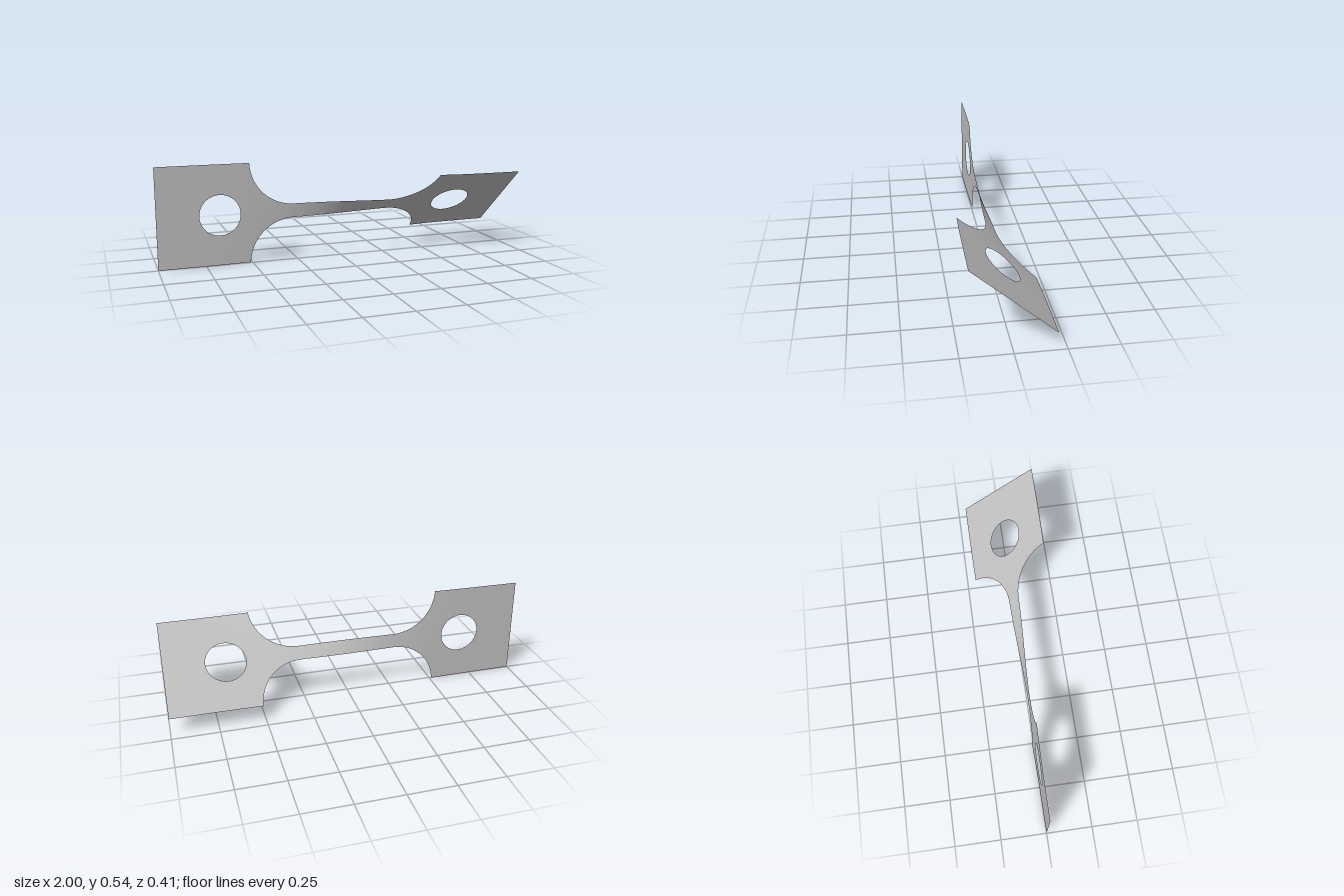
import * as THREE from 'three';
import { mergeGeometries } from 'three/addons/utils/BufferGeometryUtils.js';

const HALF = 0.271;      // half height of the end tabs
const NECK = 0.039;      // half height of the neck
const FILLET = 0.24;     // radius between neck and tab
const TAB_X = 0.51;      // inner edge of the tabs
const HOLE_X = 0.67;
const HOLE_R = 0.109;

const MAX_TWIST = THREE.MathUtils.degToRad(49);
const RATE = 3.4;

// Twist about the x axis, concentrated in the neck
const twist = x => (MAX_TWIST / 2) * (1 + Math.tanh(RATE * x));
const twistSlope = x => (MAX_TWIST / 2) * RATE / Math.cosh(RATE * x) ** 2;

// Outer edge of the sheet at x
function edge(x) {
  const d = Math.abs(x) - (TAB_X - FILLET);
  if (d <= 0) return NECK;
  if (d >= FILLET - 1e-6) return HALF;
  return Math.min(HALF, NECK + FILLET - Math.sqrt(FILLET * FILLET - d * d));
}

// Edge of the round hole at x
function hole(x) {
  const d = Math.abs(x) - HOLE_X;
  return Math.sqrt(Math.max(0, HOLE_R * HOLE_R - d * d));
}

// Stations from a to b, bunched towards both ends
const stations = (a, b, n) => Array.from({ length: n + 1 }, (_, i) =>
  (a + b) / 2 - (b - a) / 2 * Math.cos(Math.PI * i / n));

// Twisted strip lying above (side 1) or below (side -1) the centre line
function strip(xs, side) {
  const rows = 4;
  const geo = new THREE.PlaneGeometry(1, 1, xs.length - 1, rows);
  const { position, normal } = geo.attributes;
  const n = new THREE.Vector3();
  for (let i = 0; i < position.count; i++) {
    const x = xs[i % xs.length];
    const t = Math.floor(i / xs.length) / rows;
    const v = side > 0
      ? THREE.MathUtils.lerp(edge(x), hole(x), t)
      : -THREE.MathUtils.lerp(hole(x), edge(x), t);
    const a = twist(x);
    position.setXYZ(i, x, HALF + v * Math.cos(a), v * Math.sin(a));
    n.set(-v * twistSlope(x), -Math.sin(a), Math.cos(a)).normalize();
    normal.setXYZ(i, n.x, n.y, n.z);
  }
  return geo;
}

export function createModel() {
  const group = new THREE.Group();
  group.name = 'twistedSpecimen';
  const metal = new THREE.MeshStandardMaterial({ color: 0xc0c0c0, side: THREE.DoubleSide });
  metal.name = 'plain grey metal';

  const add = (name, xs) => {
    const mesh = new THREE.Mesh(mergeGeometries([strip(xs, 1), strip(xs, -1)]), metal);
    mesh.name = name;
    group.add(mesh);
  };

  // Tab stations, running outwards past the hole
  const tab = [
    ...stations(TAB_X, HOLE_X - HOLE_R, 3),
    ...stations(HOLE_X - HOLE_R, HOLE_X + HOLE_R, 40).slice(1),
    ...stations(HOLE_X + HOLE_R, 1, 6).slice(1),
  ];
  // Fillet stations, running outwards from the neck
  const fillet = stations(TAB_X - FILLET, TAB_X, 28);
  const mirror = xs => xs.map(x => -x).reverse();

  add('leftTab', tab);
  add('leftFillet', fillet);
  add('neck', stations(FILLET - TAB_X, TAB_X - FILLET, 32));
  add('rightFillet', mirror(fillet));
  add('rightTab', mirror(tab));
  return group;
}
